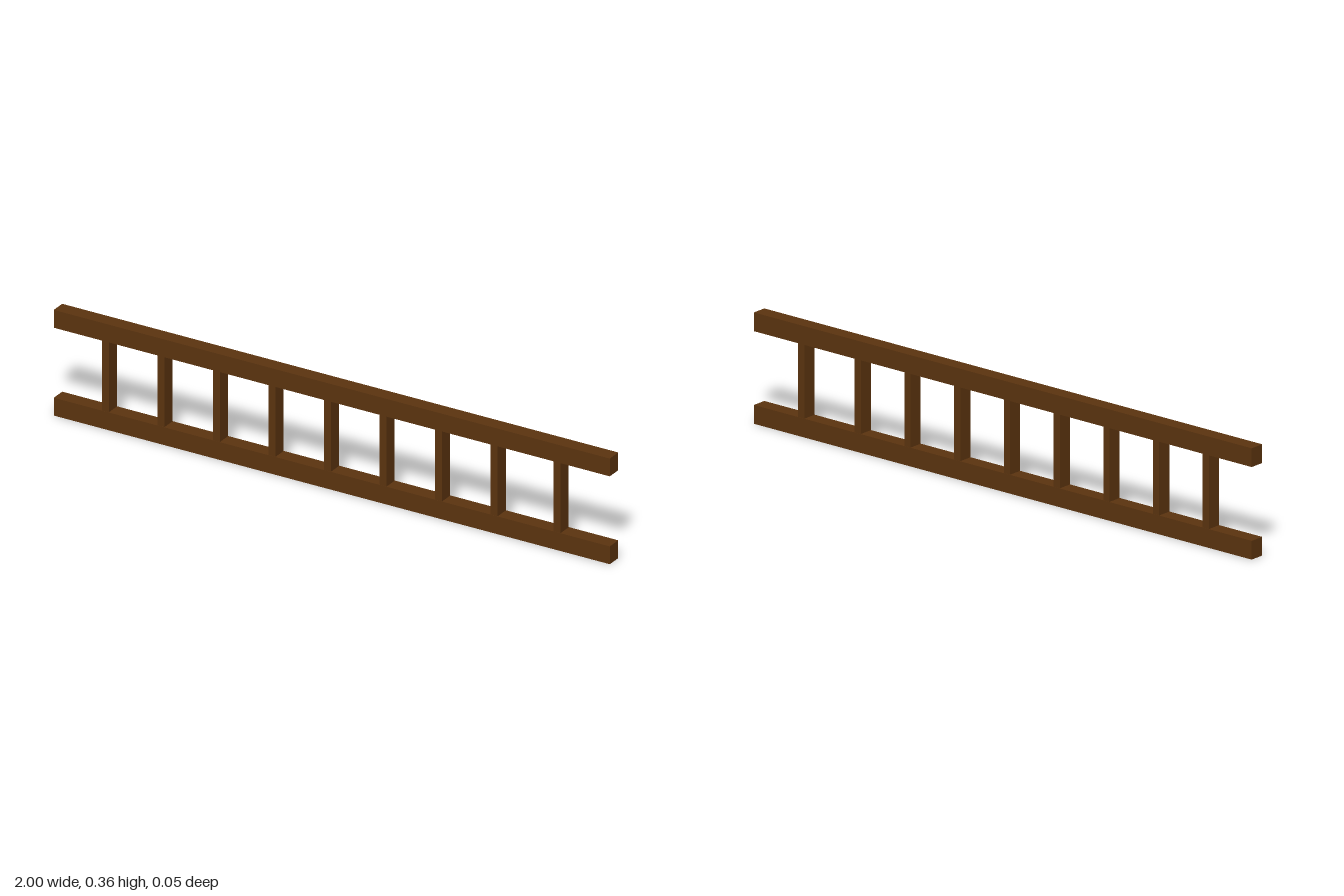
import * as THREE from 'three';

export function createModel() {
  const model = new THREE.Group();
  model.name = 'ladder';
  const wood = new THREE.MeshStandardMaterial({ color: 0x5c340f });
  wood.name = 'brown wood';

  const addBeam = (name, size, position) => {
    const beam = new THREE.Mesh(new THREE.BoxGeometry(...size), wood);
    beam.name = name;
    beam.position.set(...position);
    model.add(beam);
  };

  // Two long side rails
  const height = 0.362, railHeight = 0.061;
  addBeam('lowerRail', [2, railHeight, 0.05], [0, railHeight / 2, 0]);
  addBeam('upperRail', [2, railHeight, 0.05], [0, height - railHeight / 2, 0]);

  // Rungs, slightly shallower than the rails; the last one sits a little further out
  const rungLength = height - 2 * railHeight;
  for (let i = 0; i < 9; i++) {
    const x = i < 8 ? -0.815 + i * 0.1998 : 0.81;
    addBeam(`rung${i + 1}`, [0.025, rungLength, 0.048], [x, height / 2, 0]);
  }
  return model;
}
